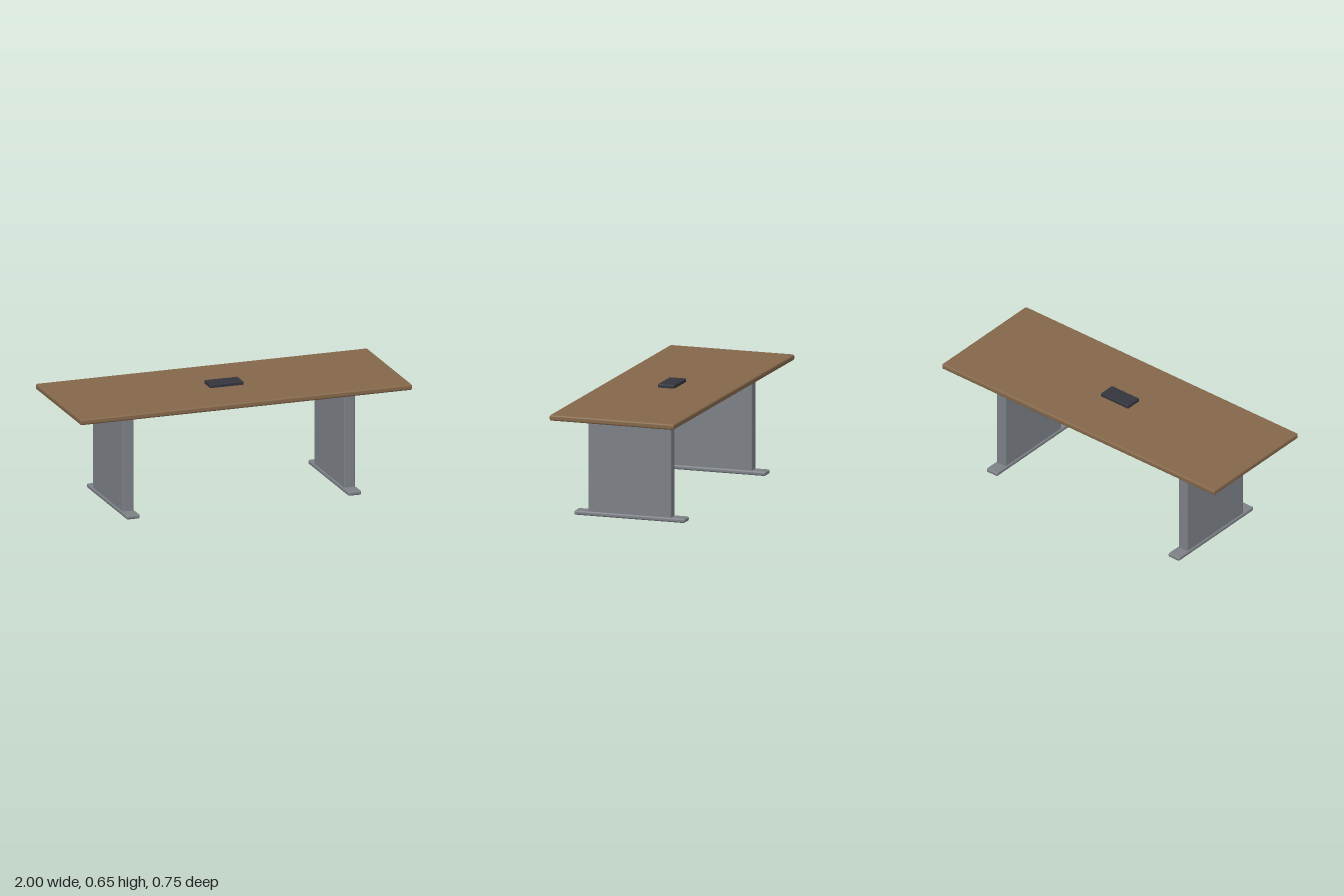
import * as THREE from 'three';
import { RoundedBoxGeometry } from 'three/addons/geometries/RoundedBoxGeometry.js';

export function createModel() {
  const group = new THREE.Group();
  group.name = 'conferenceTable';

  const material = (name, color) => {
    const m = new THREE.MeshStandardMaterial({ color });
    m.name = name;
    return m;
  };
  const wood = material('brown wood', 0x84674a);
  const metal = material('grey metal', 0x7c8085);
  const plastic = material('dark plastic', 0x33343c);

  // Rounded block standing on y = bottom
  const block = (name, mat, [w, h, d], radius, x, bottom) => {
    const mesh = new THREE.Mesh(new RoundedBoxGeometry(w, h, d, 3, radius), mat);
    mesh.name = name;
    mesh.position.set(x, bottom + h / 2, 0);
    group.add(mesh);
  };

  // Table top and the connection box in its middle
  block('tableTop', wood, [2, 0.033, 0.75], 0.01, 0, 0.602);
  block('connectionBox', plastic, [0.2, 0.025, 0.1], 0.005, 0, 0.63);

  // Panel legs on long flat feet
  for (const [side, s] of [['left', 1], ['right', -1]]) {
    block(side + 'LegPanel', metal, [0.066, 0.583, 0.5], 0.008, s * 0.667, 0.01);
    block(side + 'Foot', metal, [0.08, 0.026, 0.667], 0.01, s * 0.667, 0);
  }
  return group;
}
